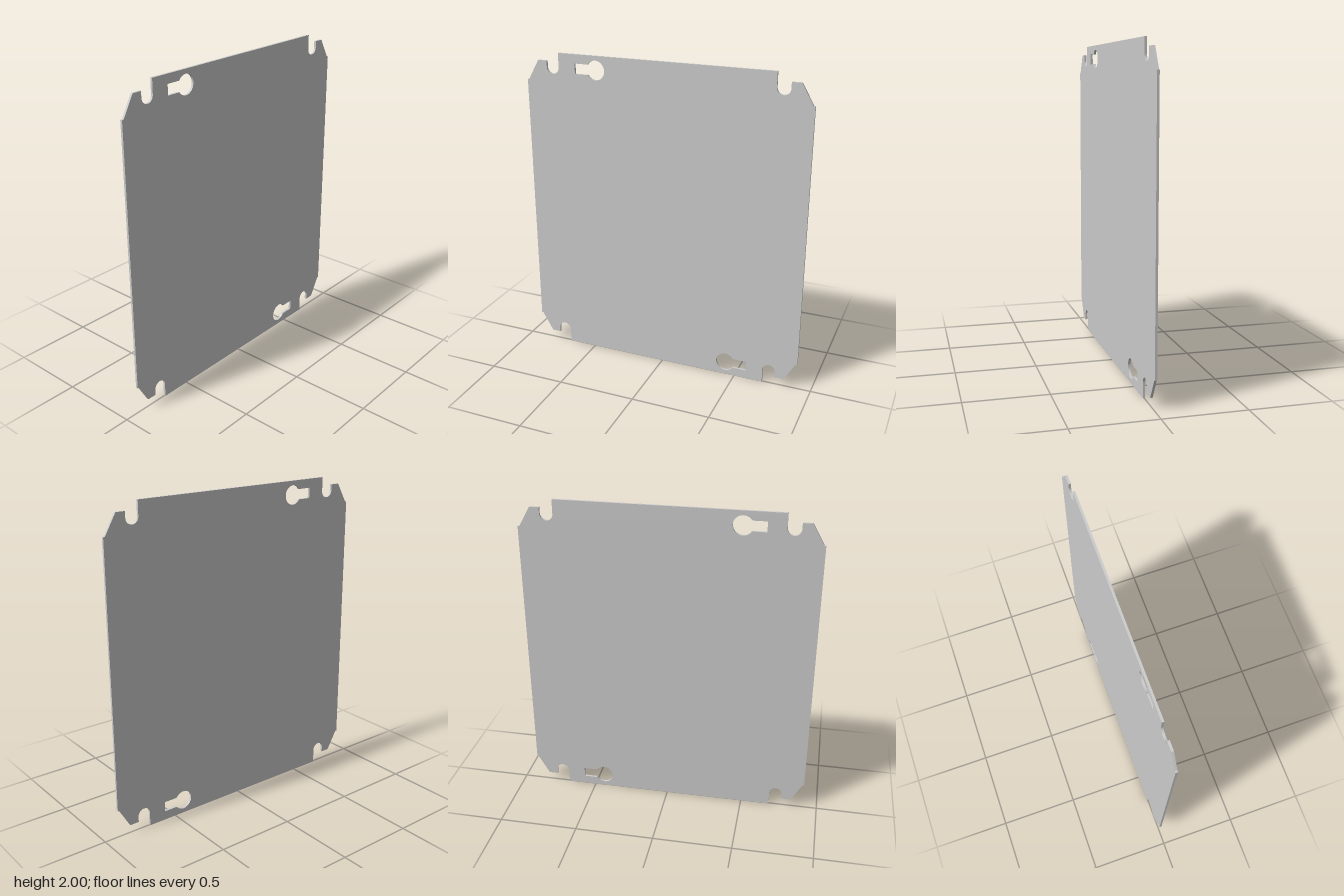
import * as THREE from 'three';

const THICKNESS = 0.014;
const HALF_HEIGHT = 1;

// Points along an arc, from angle a0 to a1
function arc(cx, cy, r, a0, a1, steps) {
  return Array.from({ length: steps + 1 }, (_, i) => {
    const a = a0 + ((a1 - a0) * i) / steps;
    return new THREE.Vector2(cx + r * Math.cos(a), cy + r * Math.sin(a));
  });
}

// Upper +x corner: small step, chamfer, then a round-ended notch open at the top
function cornerPoints() {
  return [
    new THREE.Vector2(0.908, 0.823),
    new THREE.Vector2(0.898, 0.823),
    new THREE.Vector2(0.827, 0.947),
    new THREE.Vector2(0.768, 0.947),
    ...arc(0.727, 0.91, 0.041, 0, -Math.PI, 24),
    new THREE.Vector2(0.686, HALF_HEIGHT),
  ];
}

// Keyhole: round opening with a slot running outward; s = -1 turns it half round
function keyhole(s) {
  const cx = -0.437, cy = 0.912, r = 0.06, slot = 0.032, slotEnd = -0.575;
  const a = Math.PI - Math.asin(slot / r);
  const points = [
    ...arc(cx, cy, r, -a, a, 48),
    new THREE.Vector2(slotEnd, cy + slot),
    new THREE.Vector2(slotEnd, cy - slot),
  ];
  return new THREE.Path(points.map((p) => p.multiplyScalar(s)));
}

export function createModel() {
  // Mirror the corner into all four quadrants, keeping the outline counter-clockwise
  const outline = [];
  for (const [sx, sy] of [[1, 1], [-1, 1], [-1, -1], [1, -1]]) {
    const points = cornerPoints().map((p) => new THREE.Vector2(p.x * sx, p.y * sy));
    if (sx * sy < 0) points.reverse();
    outline.push(...points);
  }

  const shape = new THREE.Shape(outline);
  shape.holes.push(keyhole(1), keyhole(-1));

  const geometry = new THREE.ExtrudeGeometry(shape, { depth: THICKNESS, bevelEnabled: false });
  geometry.translate(0, HALF_HEIGHT, -THICKNESS / 2);

  const plate = new THREE.Mesh(geometry, new THREE.MeshStandardMaterial({ color: 0xcccccc }));
  plate.name = 'mountingPlate';

  const model = new THREE.Group();
  model.name = 'mountingPlateModel';
  model.add(plate);
  return model;
}
